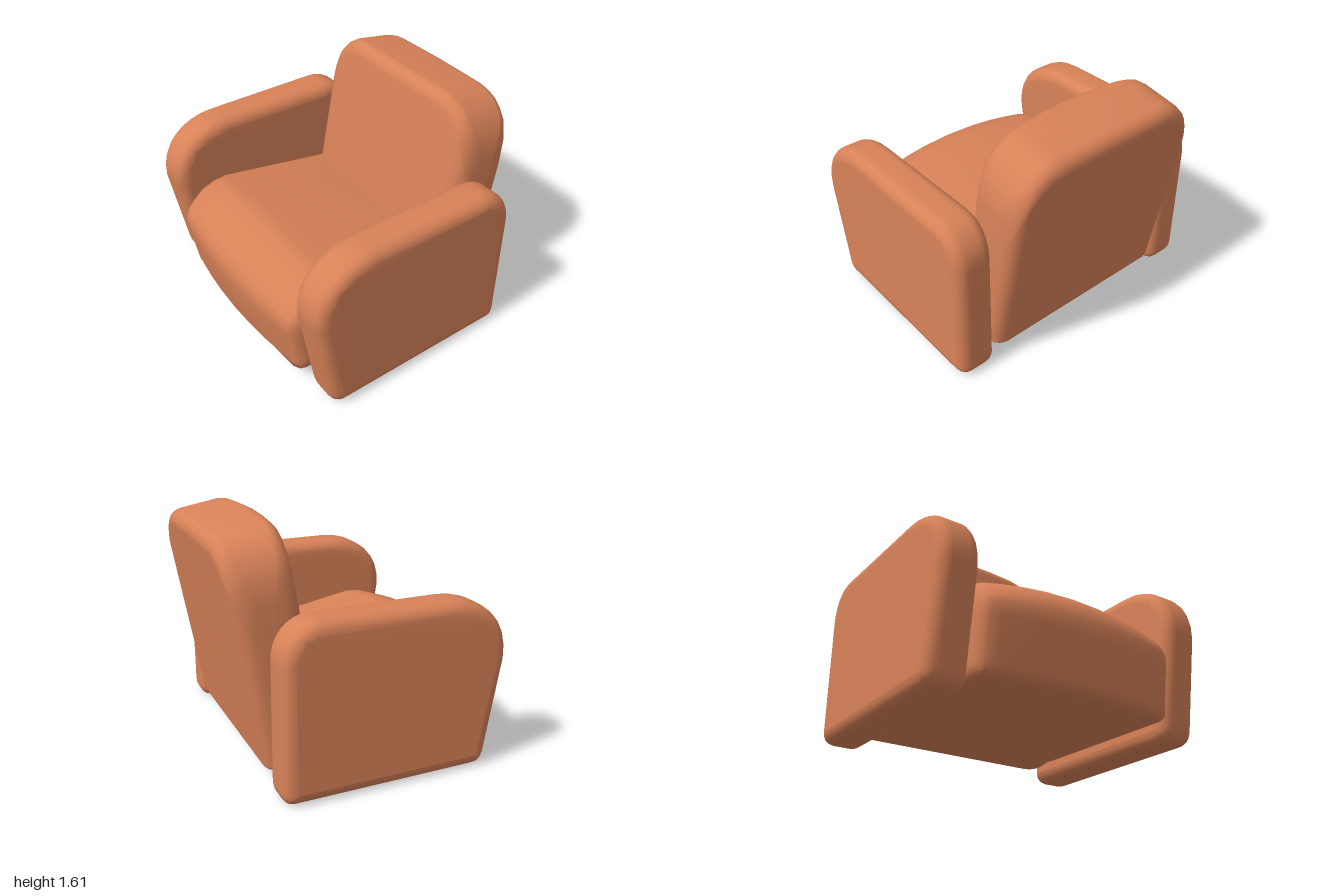
import * as THREE from 'three';
import { mergeVertices } from 'three/addons/utils/BufferGeometryUtils.js';

// Skin closed side sections (z, y) placed along x, with flat end caps
function loftAlongX(stations, section) {
  const pos = [], index = [];
  const rings = stations.map((x) => section(x));
  const n = rings[0].length;
  rings.forEach((ring, s) => ring.forEach(([z, y]) => pos.push(stations[s], y, z)));
  for (let s = 0; s < rings.length - 1; s++) {
    for (let i = 0; i < n; i++) {
      const j = (i + 1) % n, a = s * n, b = a + n;
      index.push(a + i, b + i, b + j, a + i, b + j, a + j);
    }
  }
  [0, rings.length - 1].forEach((s) => {
    const centre = pos.length / 3;
    const mean = (k) => rings[s].reduce((t, p) => t + p[k], 0) / n;
    pos.push(stations[s], mean(1), mean(0));
    for (let i = 0; i < n; i++) {
      const a = s * n + i, b = s * n + (i + 1) % n;
      if (s === 0) index.push(centre, a, b);
      else index.push(centre, b, a);
    }
  });
  const geo = new THREE.BufferGeometry();
  geo.setAttribute('position', new THREE.Float32BufferAttribute(pos, 3));
  geo.setIndex(index);
  geo.computeVertexNormals();
  return geo;
}

const mirrored = (half) => [...half.slice(1).reverse().map((x) => -x), ...half];

// Linear lookup in a short list of [x, value]
function lookup(table, x) {
  for (let i = 1; i < table.length; i++) {
    const [x0, v0] = table[i - 1], [x1, v1] = table[i];
    if (x <= x1) return v0 + (v1 - v0) * (x - x0) / (x1 - x0);
  }
  return table[table.length - 1][1];
}

function armGeometry() {
  const s = new THREE.Shape();
  s.moveTo(-0.58, 0);
  s.lineTo(0.63, 0);
  s.quadraticCurveTo(0.715, 0, 0.733, 0.1);
  s.lineTo(0.838, 0.72);
  s.bezierCurveTo(0.86, 0.98, 0.66, 1.14, 0.42, 1.14);
  s.lineTo(-0.42, 1.14);
  s.bezierCurveTo(-0.57, 1.14, -0.67, 1.02, -0.67, 0.87);
  s.lineTo(-0.67, 0.09);
  s.quadraticCurveTo(-0.67, 0, -0.58, 0);
  const bevel = 0.08;
  let geo = new THREE.ExtrudeGeometry(s, {
    depth: 0.275 - 2 * bevel, bevelThickness: bevel, bevelSize: bevel,
    bevelOffset: -bevel, bevelSegments: 4, curveSegments: 8,
  });
  geo.rotateY(-Math.PI / 2);
  geo.deleteAttribute('uv');
  geo.deleteAttribute('normal');
  geo = mergeVertices(geo, 1e-4);
  geo.computeVertexNormals();
  geo.center();
  return geo.translate(0, 0.57, 0.085);
}

function seatGeometry() {
  // [z, y, how much the crown drops this point towards the sides]
  const profile = [
    [0.74, 0.09, 0], [0.82, 0.11, 0.5], [0.86, 0.16, 1], [0.905, 0.45, 1], [0.91, 0.54, 1],
    [0.89, 0.62, 1], [0.84, 0.69, 1], [0.75, 0.76, 1], [0.62, 0.797, 1], [0.5, 0.805, 1],
    [-0.38, 0.63, 1], [-0.43, 0.58, 0.5], [-0.43, 0.13, 0], [-0.41, 0.1, 0],
  ];
  const inset = [[0.64, 0], [0.69, 0.015], [0.71, 0.045], [0.725, 0.09]];
  const half = [0, 0.2, 0.36, 0.5, 0.6, 0.64, 0.67, 0.69, 0.71, 0.725];
  return loftAlongX(mirrored(half), (x) => {
    const ax = Math.abs(x);
    const drop = 0.065 * (ax / 0.68) ** 2;
    const e = ax < 0.64 ? 0 : lookup(inset, ax);
    return profile.map(([z, y, w]) => {
      const front = w * THREE.MathUtils.smoothstep(z, 0.45, 0.88);
      const top = w * THREE.MathUtils.smoothstep(y, 0.45, 0.7);
      const pz = z - drop * front, py = y - drop * top;
      return [0.24 + (pz - 0.24) * (1 - e / 0.65), 0.43 + (py - 0.43) * (1 - e / 0.35)];
    });
  });
}

function backrestGeometry() {
  // Height falls away at the rounded top corners
  const height = [[0, 1.466], [0.4, 1.46], [0.47, 1.45], [0.53, 1.43], [0.59, 1.39],
    [0.64, 1.34], [0.68, 1.27], [0.71, 1.19], [0.73, 1.06]];
  const inset = [[0.64, 0], [0.68, 0.012], [0.71, 0.038], [0.73, 0.085]];
  const half = [0, 0.2, 0.4, 0.47, 0.53, 0.59, 0.64, 0.68, 0.71, 0.73];
  return loftAlongX(mirrored(half), (x) => {
    const ax = Math.abs(x);
    const e = ax < 0.64 ? 0 : lookup(inset, ax);
    const h = lookup(height, ax);
    const front = 0.40 + 0.07 * (1 - (ax / 0.73) ** 2) - e, back = e;
    const rTop = 0.09 + 0.4 * (1.466 - h), r = 0.085, rLow = 0.03;
    const pts = [];
    const corner = (cz, cy, rz, ry, from) => {
      for (let k = 0; k <= 4; k++) {
        const a = from + k * Math.PI / 8;
        pts.push([cz + rz * Math.cos(a), cy + ry * Math.sin(a)]);
      }
    };
    corner(front - rLow, rLow, rLow, rLow, -Math.PI / 2);
    corner(front - r, h - rTop, r, rTop, 0);
    corner(back + r, h - rTop, r, rTop, Math.PI / 2);
    corner(back + rLow, rLow, rLow, rLow, Math.PI);
    return pts;
  });
}

export function createModel() {
  const chair = new THREE.Group();
  chair.name = 'armchair';
  const leather = new THREE.MeshStandardMaterial({ color: 0xd88258 });
  leather.name = 'tan leather';

  const add = (name, geo) => {
    const mesh = new THREE.Mesh(geo, leather);
    mesh.name = name;
    chair.add(mesh);
    return mesh;
  };

  // Two padded arms that stand on the floor
  const arm = armGeometry();
  add('leftArm', arm).position.x = 0.8625;
  add('rightArm', arm).position.x = -0.8625;

  // Crowned seat cushion sloping down to the back
  add('seat', seatGeometry());

  // Reclined back cushion with a bowed front
  const backrest = add('backrest', backrestGeometry());
  backrest.position.set(0, 0.1, -0.67);
  backrest.rotation.x = -0.174;

  return chair;
}
